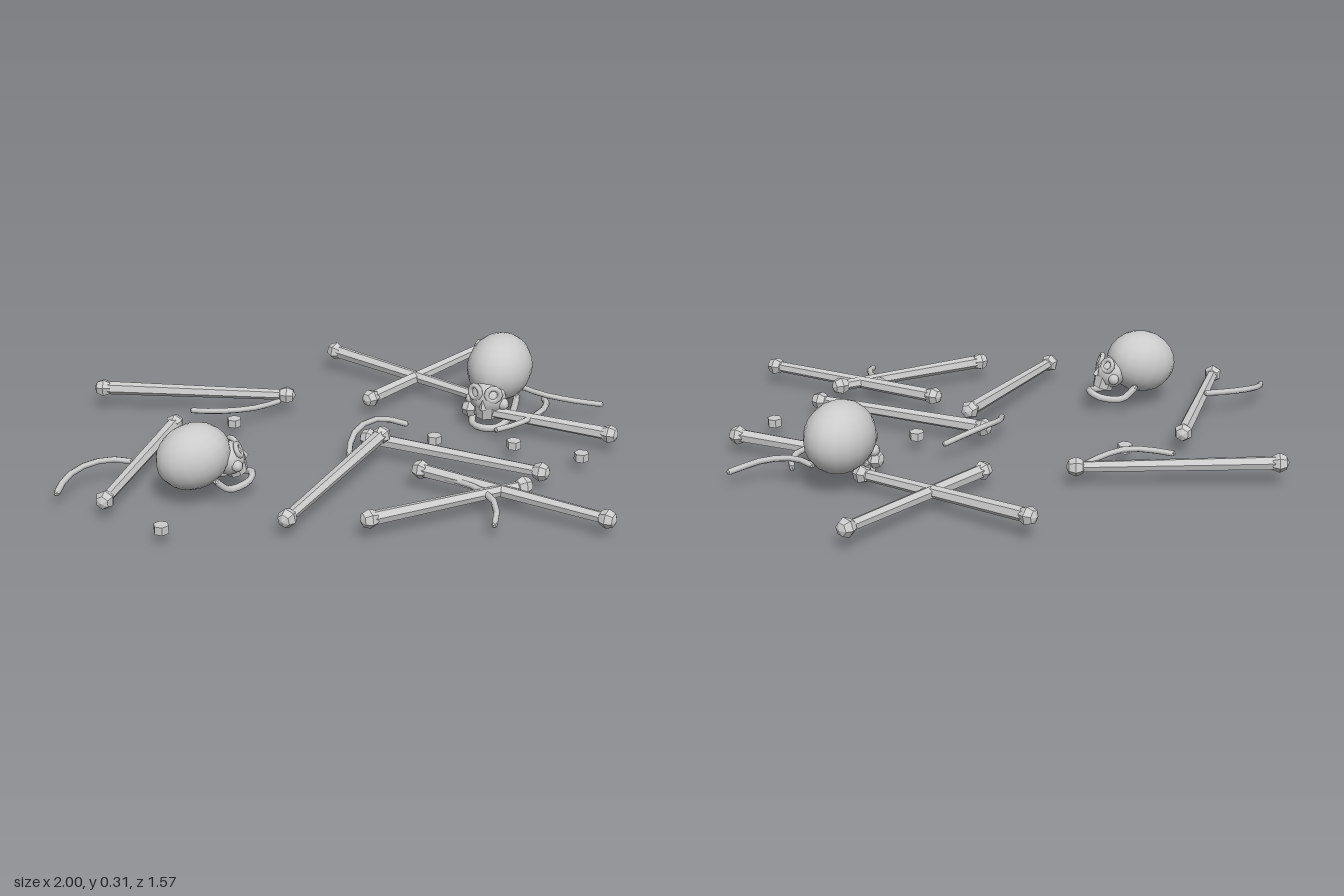
import * as THREE from 'three';

const smooth = new THREE.MeshStandardMaterial({ color: 0xcccccc });
const flat = new THREE.MeshStandardMaterial({ color: 0xcccccc, flatShading: true });
const V = (p) => new THREE.Vector3(...p);

function add(parent, name, geometry, material, pos = [0, 0, 0], rot = [0, 0, 0], scale = [1, 1, 1]) {
  const mesh = new THREE.Mesh(geometry, material);
  mesh.name = name;
  mesh.position.set(...pos);
  mesh.rotation.set(...rot);
  mesh.scale.set(...scale);
  parent.add(mesh);
  return mesh;
}

// Round rod along a path, closed by small caps
function rod(parent, name, points, radius, segments) {
  const curve = new THREE.CatmullRomCurve3(points.map(V));
  const group = new THREE.Group();
  group.name = name;
  add(group, name + 'Rod', new THREE.TubeGeometry(curve, segments, radius, 6), smooth);
  for (const t of [0, 1])
    add(group, name + 'Tip', new THREE.IcosahedronGeometry(radius, 0), flat, curve.getPoint(t).toArray());
  parent.add(group);
}

// Long bone: six-sided shaft with a knob at each end
function longBone(a, b) {
  const group = new THREE.Group();
  group.name = 'longBone';
  const start = V(a), end = V(b), length = start.distanceTo(end);
  add(group, 'shaft', new THREE.CylinderGeometry(0.019, 0.024, length, 6), flat);
  for (const s of [-1, 1])
    add(group, 'knob', new THREE.SphereGeometry(0.033, 6, 4), flat, [0, s * length / 2, 0]);
  group.position.copy(start).lerp(end, 0.5);
  group.quaternion.setFromUnitVectors(new THREE.Vector3(0, 1, 0), end.sub(start).normalize());
  return group;
}

// Skull facing +z, origin at the middle of the cranium
function skull() {
  const group = new THREE.Group();
  group.name = 'skull';
  add(group, 'cranium', new THREE.SphereGeometry(1, 16, 12), smooth, [0, 0, 0], [0, 0, 0], [0.105, 0.11, 0.128]);
  add(group, 'face', new THREE.SphereGeometry(1, 10, 8), smooth, [0, -0.062, 0.105], [0, 0, 0], [0.062, 0.058, 0.055]);
  add(group, 'upperJaw', new THREE.CylinderGeometry(0.042, 0.036, 0.04, 8), flat, [0, -0.105, 0.117]);
  add(group, 'nose', new THREE.ConeGeometry(0.013, 0.035, 4), flat, [0, -0.068, 0.158]);
  for (const s of [-1, 1]) {
    add(group, 'eyeSocket', new THREE.TorusGeometry(0.022, 0.009, 6, 10), smooth, [s * 0.031, -0.035, 0.142], [-0.1, s * 0.4, 0]);
    add(group, 'cheekbone', new THREE.SphereGeometry(0.02, 8, 6), smooth, [s * 0.055, -0.075, 0.115]);
  }
  // U-shaped lower jaw hanging from behind the cheeks
  rod(group, 'lowerJaw', [
    [-0.072, -0.085, 0.03], [-0.066, -0.135, 0.06], [-0.042, -0.153, 0.135], [0, -0.15, 0.16],
    [0.042, -0.153, 0.135], [0.066, -0.135, 0.06], [0.072, -0.085, 0.03],
  ], 0.012, 16);
  return group;
}

export function createModel() {
  const model = new THREE.Group();
  model.name = 'scatteredBones';

  // Long bones, end to end
  const bones = [
    [[-0.77, 0.1, -0.57], [-0.12, 0.085, -0.41]],
    [[-0.55, 0.09, -0.23], [-0.84, 0.078, 0.30]],
    [[0.13, 0.097, -0.76], [0.57, 0.075, -0.28]],
    [[0.93, 0.08, 0.13], [0.51, 0.08, -0.18]],
    [[0.18, 0.075, -0.345], [0.69, 0.092, -0.70]],
    [[0.13, 0.12, 0.07], [-0.28, 0.08, 0.545]],
    [[0.10, 0.08, 0], [0.61, 0.08, 0.375]],
    [[0.215, 0.09, 0.30], [0.72, 0.082, 0.75]],
    [[-0.025, 0.085, 0.61], [0.52, 0.088, 0.48]],
  ];
  for (const [a, b] of bones) model.add(longBone(a, b));

  // Curved ribs
  const ribs = [
    [[-0.47, 0.075, -0.36], [-0.41, 0.08, -0.33], [-0.33, 0.085, -0.31], [-0.24, 0.08, -0.33], [-0.155, 0.075, -0.38]],
    [[-0.99, 0.065, 0.195], [-0.95, 0.085, 0.12], [-0.88, 0.1, 0.07], [-0.80, 0.105, 0.055], [-0.735, 0.1, 0.07]],
    [[0.01, 0.07, 0.10], [0.04, 0.095, 0.01], [0.095, 0.11, -0.055], [0.17, 0.105, -0.095], [0.255, 0.075, -0.10]],
    [[0.27, 0.085, 0.36], [0.35, 0.09, 0.45], [0.39, 0.09, 0.54], [0.39, 0.08, 0.62], [0.365, 0.065, 0.69]],
    [[0.56, 0.07, 0], [0.645, 0.08, -0.015], [0.725, 0.09, -0.06], [0.78, 0.09, -0.13], [0.79, 0.085, -0.20]],
    [[0.73, 0.11, -0.25], [0.78, 0.11, -0.18], [0.88, 0.095, -0.14], [0.99, 0.068, -0.145]],
  ];
  for (const points of ribs) rod(model, 'rib', points, 0.011, 6);

  // Loose vertebrae
  for (const [x, z] of [[-0.68, 0.51], [-0.335, -0.255], [0.33, 0.02], [0.59, 0.115], [0.79, 0.255]])
    add(model, 'vertebra', new THREE.CylinderGeometry(0.026, 0.026, 0.028, 6), flat, [x, 0.065, z]);

  // Two skulls, one tipped back and one upright
  const places = [
    { pos: [-0.54, 0.18, 0.238], yaw: 1.72, pitch: -0.33, size: 1 },
    { pos: [0.635, 0.203, -0.25], yaw: -0.62, pitch: 0.05, size: 1.1 },
  ];
  for (const { pos, yaw, pitch, size } of places) {
    const s = skull();
    s.position.set(...pos);
    s.rotation.set(pitch, yaw, 0, 'YXZ');
    s.scale.setScalar(size);
    model.add(s);
  }
  return model;
}
